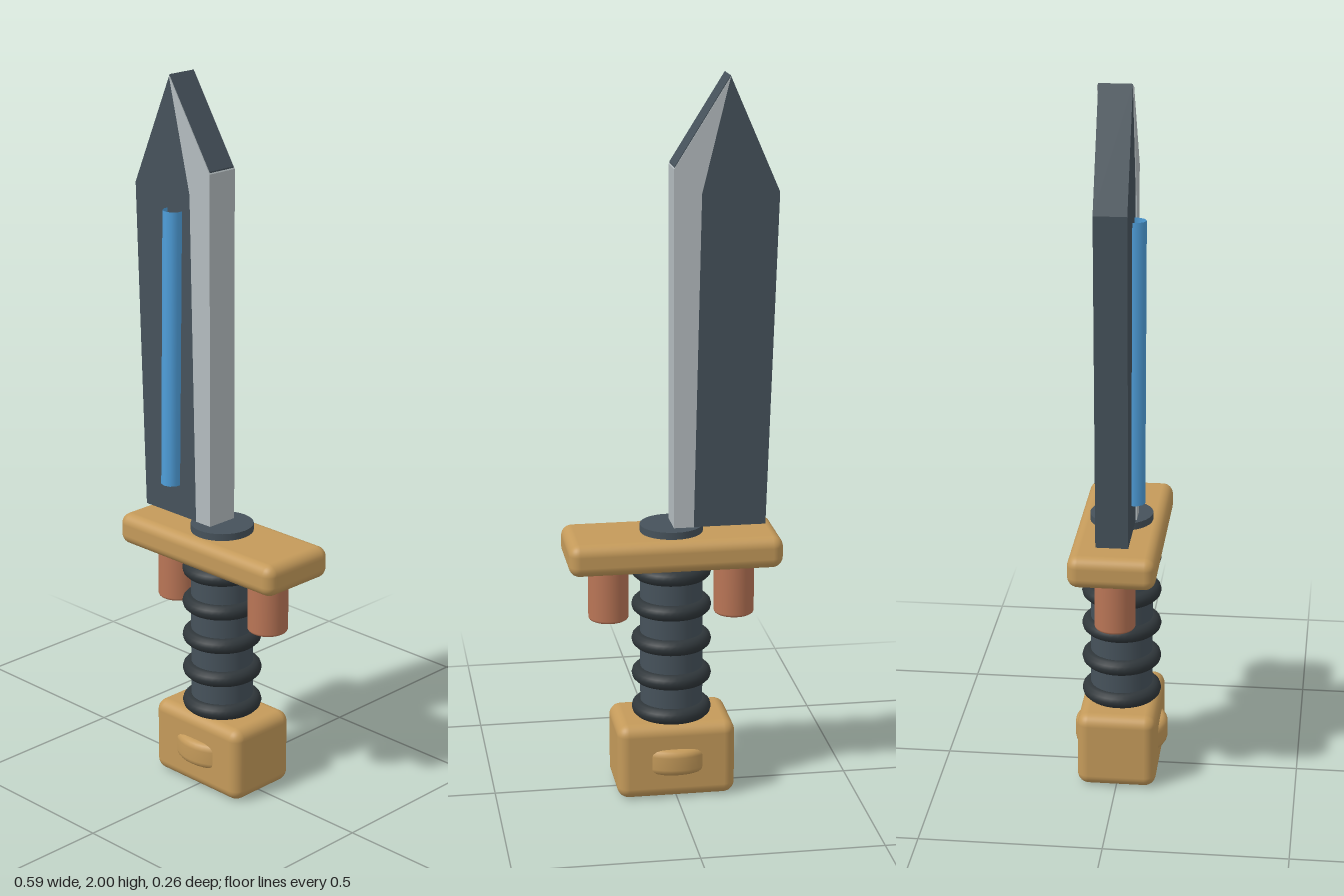
import * as THREE from 'three';
import { RoundedBoxGeometry } from 'three/addons/geometries/RoundedBoxGeometry.js';

const material = (color, options = {}) => {
  const m = new THREE.MeshStandardMaterial(options);
  m.color.set(color);
  return m;
};

export function createModel() {
  const group = new THREE.Group();
  const gold = material(0xc49a5a);
  const steel = material(0x46525b);
  const rubber = material(0x2f363a);
  const copper = material(0xb97556);
  const silver = material(0xb4bcbf);
  const blue = material(0x4f9fdb, { side: THREE.DoubleSide });

  const add = (name, geometry, mat, x = 0, y = 0, z = 0) => {
    const mesh = new THREE.Mesh(geometry, mat);
    mesh.name = name;
    mesh.position.set(x, y, z);
    group.add(mesh);
    return mesh;
  };

  // Upright disc with rounded rims, spanning y0 to y1
  const roundedDisc = (radius, y0, y1, r, segments) => {
    const points = [new THREE.Vector2(0, y0)];
    for (let i = 0; i <= 4; i++) {
      const a = (i / 4) * Math.PI / 2;
      points.push(new THREE.Vector2(radius - r + r * Math.sin(a), y0 + r - r * Math.cos(a)));
    }
    for (let i = 0; i <= 4; i++) {
      const a = (i / 4) * Math.PI / 2;
      points.push(new THREE.Vector2(radius - r + r * Math.cos(a), y1 - r + r * Math.sin(a)));
    }
    points.push(new THREE.Vector2(0, y1));
    return new THREE.LatheGeometry(points, segments);
  };

  // Flat plate cut from an outline, centred on z = 0
  const plate = (outline, depth) => {
    const shape = new THREE.Shape(outline.map(([x, y]) => new THREE.Vector2(x, y)));
    return new THREE.ExtrudeGeometry(shape, { depth, bevelEnabled: false }).translate(0, 0, -depth / 2);
  };

  // Pommel with a rounded disc showing through front and back
  add('pommel', new RoundedBoxGeometry(0.33, 0.216, 0.22, 4, 0.032), gold, 0, 0.108);
  add('pommelDisc', roundedDisc(0.131, 0.07, 0.146, 0.02, 40), gold);

  // Grip with its rings
  add('grip', new THREE.CylinderGeometry(0.087, 0.087, 0.57, 32), steel, 0, 0.485);
  for (let i = 0; i < 5; i++) {
    const ring = new THREE.TorusGeometry(0.089, 0.022, 12, 36).rotateX(Math.PI / 2);
    add('gripRing', ring, rubber, 0, 0.235 + i * 0.101);
  }

  // Cross guard and the pegs beneath it
  add('guard', new RoundedBoxGeometry(0.59, 0.09, 0.238, 4, 0.03), gold, 0, 0.705);
  for (const side of [-1, 1]) {
    add('guardPeg', roundedDisc(0.056, 0.503, 0.68, 0.008, 28), copper, side * 0.176);
  }

  // Blade body and the bright cutting edge along its left side
  add('blade', plate([
    [-0.255, 0.77], [-0.002, 0.77], [-0.002, 1.764], [-0.15, 2], [-0.285, 1.69],
  ], 0.088), steel);
  add('cuttingEdge', plate([
    [-0.055, 0.765], [0, 0.765], [0, 1.757], [-0.15, 1.996], [-0.075, 1.69],
  ], 0.094), silver);

  // Slightly leaning open tube set into the front of the blade
  const strip = add('bladeStrip', new THREE.CylinderGeometry(0.029, 0.029, 0.78, 10, 1, true), blue, -0.141, 1.25, 0.05);
  strip.rotation.z = -0.018;

  return group;
}
